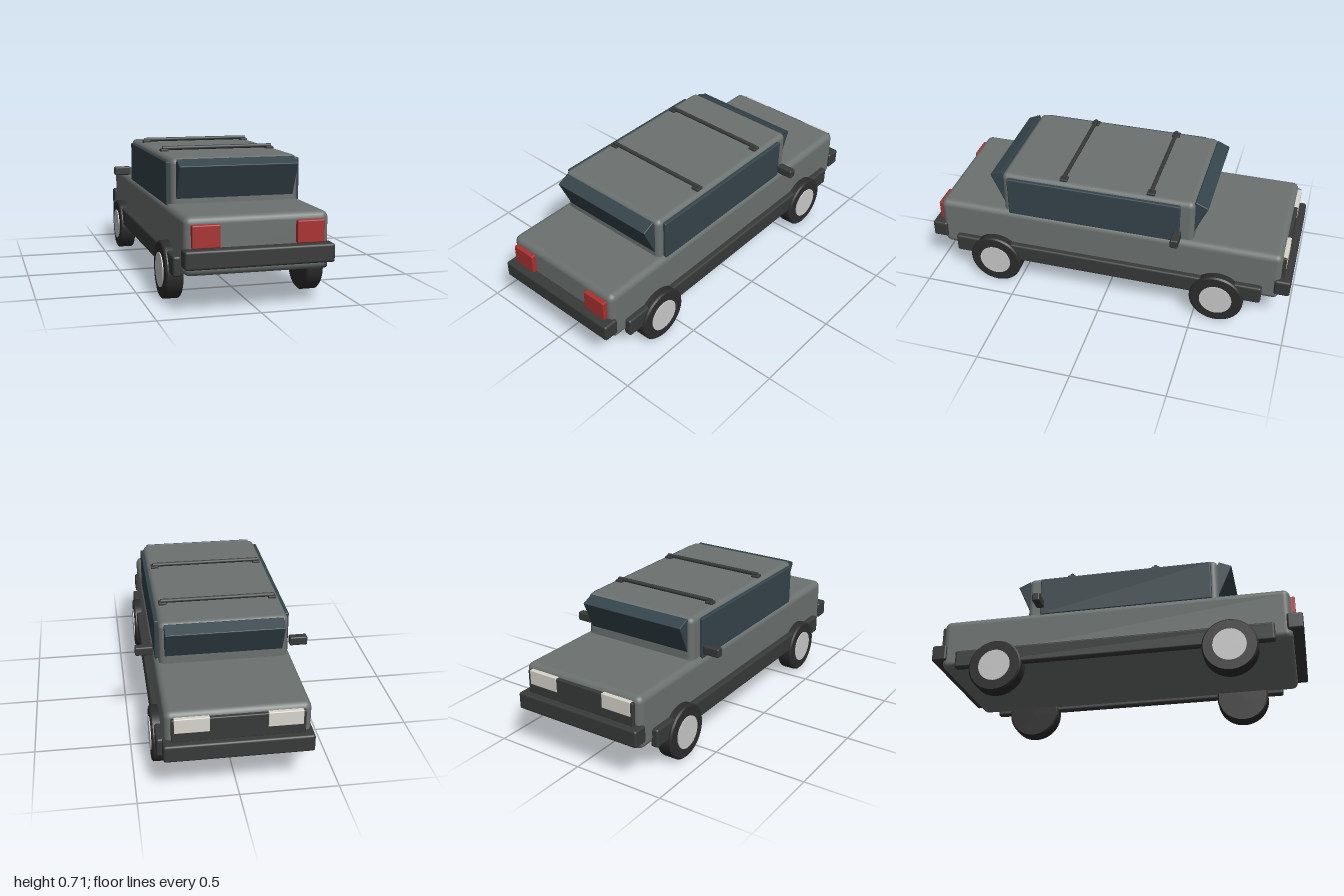
import * as THREE from 'three';
import { RoundedBoxGeometry } from 'three/addons/geometries/RoundedBoxGeometry.js';

const mat = (color) => new THREE.MeshStandardMaterial({ color, roughness: 0.7 });

export function createModel() {
  const car = new THREE.Group();
  car.name = 'car';
  const paint = mat(0x6c7270), trim = mat(0x383a39), glass = mat(0x35444b);
  const rubber = mat(0x2b2c2b), red = mat(0xa83230), lamp = mat(0xd8d6cc), steel = mat(0xcccccc);

  const add = (name, geometry, material, x, y, z) => {
    const mesh = new THREE.Mesh(geometry, material);
    mesh.name = name;
    mesh.position.set(x, y, z);
    car.add(mesh);
    return mesh;
  };
  // Rounded box given by its minimum and maximum corners
  const box = (name, material, [x0, y0, z0], [x1, y1, z1], r = 0.008) =>
    add(name, new RoundedBoxGeometry(x1 - x0, y1 - y0, z1 - z0, 3, r), material,
      (x0 + x1) / 2, (y0 + y1) / 2, (z0 + z1) / 2);
  // The same box on both sides of the car
  const pair = (name, material, [x0, y0, z0], [x1, y1, z1], r) => {
    box(name + 'Left', material, [x0, y0, z0], [x1, y1, z1], r);
    box(name + 'Right', material, [-x1, y0, z0], [-x0, y1, z1], r);
  };

  // Body shell and cabin
  box('body', paint, [-0.357, 0.177, -0.945], [0.357, 0.461, 0.942], 0.035);
  box('cabin', paint, [-0.333, 0.38, -0.473], [0.333, 0.688, 0.575], 0.03);

  // Outward-tilted end windows and flat side windows
  for (const [name, z, tilt] of [['tailWindow', 0.571, 0.42], ['windscreen', -0.461, -0.42]]) {
    const pane = add(name, new RoundedBoxGeometry(0.612, 0.22, 0.075, 2, 0.004), glass, 0, 0.57, z);
    pane.rotation.x = tilt;
  }
  pair('sideWindow', glass, [0.31, 0.45, -0.4], [0.35, 0.67, 0.541], 0.006);

  // Bumpers and side sills
  box('tailBumper', trim, [-0.367, 0.222, 0.916], [0.367, 0.313, 1], 0.012);
  box('noseBumper', trim, [-0.367, 0.222, -1], [0.367, 0.313, -0.916], 0.012);
  pair('sill', trim, [0.345, 0.16, -0.855], [0.389, 0.26, 0.855], 0.012);

  // Lights and grille
  pair('tailLight', red, [0.188, 0.315, 0.92], [0.325, 0.425, 0.966], 0.006);
  box('grille', trim, [-0.325, 0.31, -0.963], [0.325, 0.435, -0.92], 0.006);
  pair('headlight', lamp, [0.14, 0.36, -0.965], [0.312, 0.438, -0.925], 0.004);

  // Door mirrors
  pair('mirror', trim, [0.358, 0.483, -0.415], [0.452, 0.531, -0.373], 0.008);

  // Roof bars on small feet
  for (const z of [0.236, -0.236]) {
    const bar = add('roofBar', new THREE.CylinderGeometry(0.011, 0.011, 0.6, 12), trim, 0, 0.703, z);
    bar.rotation.z = Math.PI / 2;
    pair('roofBarFoot', trim, [0.27, 0.675, z - 0.021], [0.311, 0.7, z + 0.021], 0.004);
  }

  // Wheels: bevelled tyre profile with a flat hub disc
  const tyre = new THREE.LatheGeometry([
    [0, -0.044], [0.137, -0.044], [0.137, -0.044], [0.145, -0.036], [0.145, -0.036],
    [0.145, 0.036], [0.145, 0.036], [0.137, 0.044], [0.137, 0.044], [0, 0.044],
  ].map(([r, y]) => new THREE.Vector2(r, y)), 40);
  const hub = new THREE.CylinderGeometry(0.087, 0.087, 0.02, 32);
  for (const side of [1, -1]) for (const z of [0.624, -0.622]) {
    add('tyre', tyre, rubber, side * 0.359, 0.147, z).rotation.z = -side * Math.PI / 2;
    add('hub', hub, steel, side * 0.398, 0.147, z).rotation.z = -side * Math.PI / 2;
  }
  return car;
}
